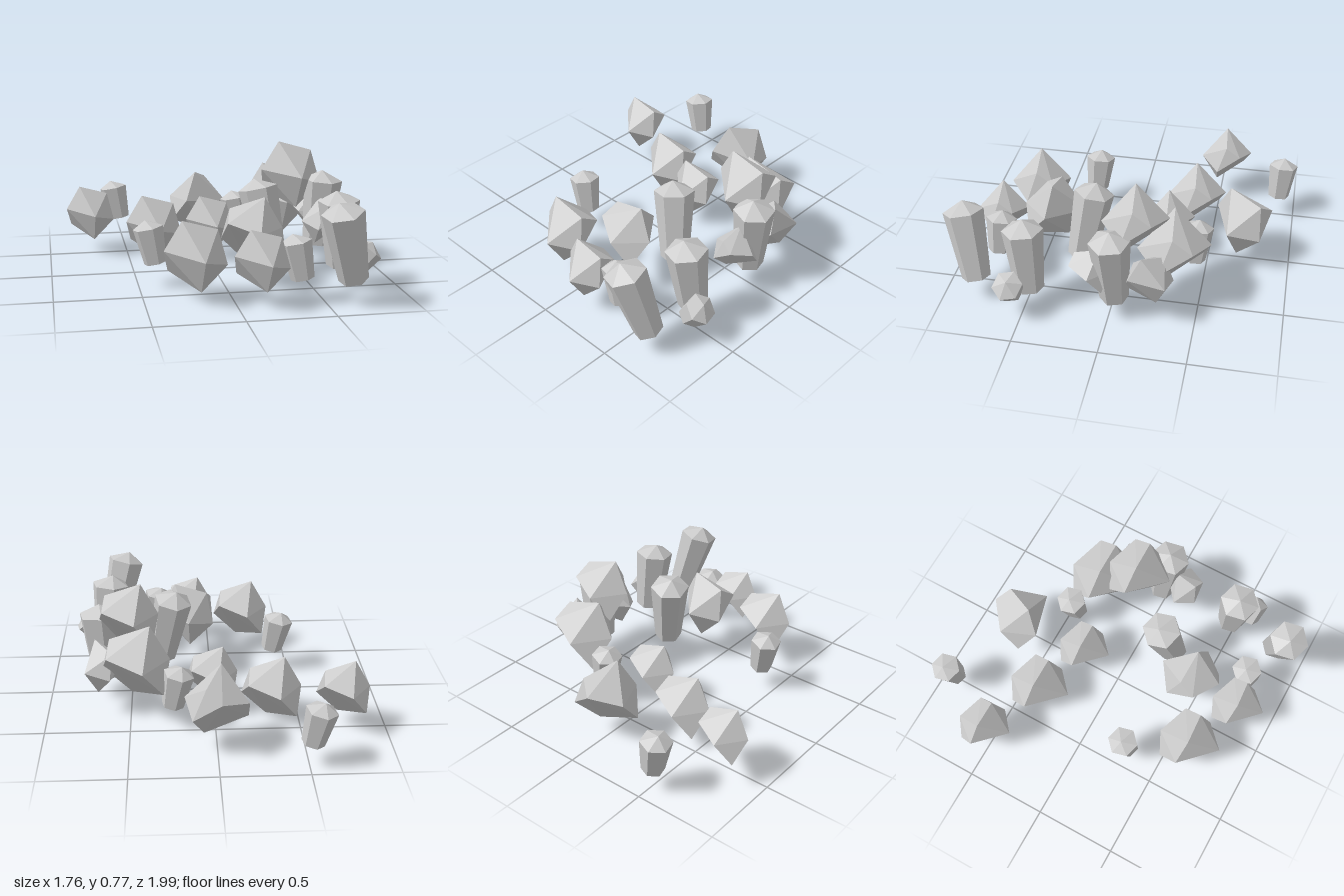
import * as THREE from 'three';
import { ConvexGeometry } from 'three/addons/geometries/ConvexGeometry.js';

const V = (a) => new THREE.Vector3(...a);
const material = new THREE.MeshStandardMaterial({ color: 0xcccccc, flatShading: true });

// Wide gem: pentagonal base (first five corners), then the shoulder and crown corners
const gemCorners = [
  [0.025, -0.2, 0.07], [0.175, -0.05, 0.06], [0.145, 0.075, -0.105], [-0.037, 0.02, -0.18], [-0.14, -0.12, -0.125],
  [-0.075, 0.2, 0.015], [0.13, 0.14, 0.0], [0.03, 0.0, 0.19], [-0.175, 0.025, -0.005],
].map(V);

// Column crystal: narrow hexagonal foot, wider shoulder and a blunt tip along the line foot -> shoulder
function columnGeometry(foot, shoulder, footRadius, radius) {
  const axis = shoulder.clone().sub(foot);
  const turn = new THREE.Quaternion().setFromUnitVectors(V([0, 1, 0]), axis.clone().normalize());
  const points = [];
  for (const [center, r] of [[foot, footRadius], [shoulder, radius]]) {
    for (let i = 0; i < 6; i++) {
      const a = (i / 6) * Math.PI * 2 + 0.3;
      points.push(V([Math.cos(a) * r, 0, Math.sin(a) * r]).applyQuaternion(turn).add(center));
    }
  }
  points.push(shoulder.clone().add(V([-0.1 * radius, 0.5 * radius, 0]).applyQuaternion(turn)));
  return new ConvexGeometry(points);
}

export function createModel() {
  const model = new THREE.Group();
  model.name = 'crystalCluster';
  const add = (geometry, name) => {
    const mesh = new THREE.Mesh(geometry, material);
    mesh.name = name;
    model.add(mesh);
    return mesh;
  };

  // Wide gems: x, y, z, scale, yaw in degrees
  const gemGeometry = new ConvexGeometry(gemCorners);
  [
    [-0.735, 0.27, -0.53, 0.86, 0],
    [-0.335, 0.2, -0.38, 1, 0],
    [0.01, 0.24, -0.25, 0.86, 0],
    [-0.215, 0.27, 0.615, 1, 0],
    [0.13, 0.27, 0.77, 0.86, 0],
    [0.46, 0.37, -0.35, 1.14, 0],
    [0.505, 0.565, -0.13, 1.03, 0],
    [0, 0.29, -0.69, 1.02, 60],
    [0.145, 0.34, 0.435, 1, 173],
    [0.66, 0.31, 0.11, 0.7, -98],
    [0.66, 0.3, -0.23, 0.77, 127],
  ].forEach(([x, y, z, s, yaw], i) => {
    const gem = add(gemGeometry, `wideGem${i + 1}`);
    gem.position.set(x, y, z);
    gem.scale.setScalar(s);
    gem.rotation.y = THREE.MathUtils.degToRad(yaw);
  });

  // Tall columns: foot centre, shoulder centre, foot radius, shoulder radius
  [
    [[0.31, 0.13, 0.24], [0.235, 0.54, 0.17], 0.085, 0.12],
    [[0.67, 0.13, 0.47], [0.64, 0.52, 0.5], 0.085, 0.12],
    [[0.645, 0.14, 0.8], [0.55, 0.54, 0.875], 0.085, 0.12],
    [[0.66, 0.13, -0.03], [0.69, 0.54, -0.01], 0.085, 0.12],
    [[0.73, 0.14, 0.56], [0.81, 0.24, 0.56], 0.07, 0.09],
  ].forEach(([f, s, r0, r1], i) => add(columnGeometry(V(f), V(s), r0, r1), `column${i + 1}`));

  // Small leaning crystals, all alike
  const smallGeometry = columnGeometry(V([0.03, -0.12, 0.01]), V([-0.01, 0.09, -0.005]), 0.067, 0.092);
  [[-0.545, -0.905], [-0.43, 0.28], [0.34, 0.73], [0.22, -0.45]].forEach(([x, z], i) => {
    add(smallGeometry, `smallCrystal${i + 1}`).position.set(x, 0.26, z);
  });

  return model;
}
